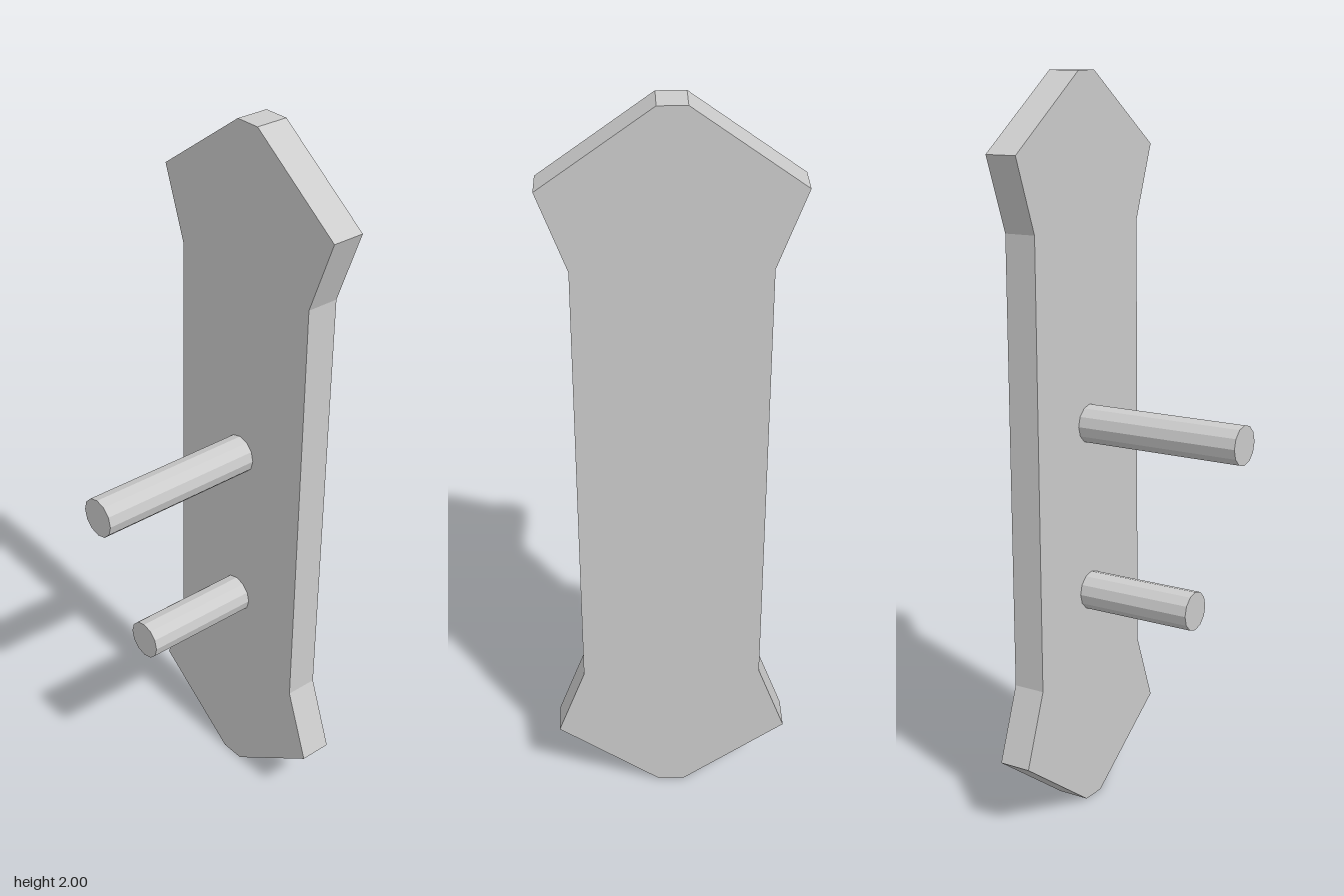
import * as THREE from 'three';

export function createModel() {
  const group = new THREE.Group();
  const material = new THREE.MeshStandardMaterial({ color: 0xcccccc, flatShading: true });
  const backZ = -0.28, frontZ = -0.19;

  // Plate: one quarter of the outline, mirrored about x = 0 and y = 1
  const quarter = [[0.235, 1.605], [0.307, 1.803], [0.035, 2]];
  const right = [...quarter.map(([x, y]) => [x, 2 - y]).reverse(), ...quarter];
  const outline = [...right, ...right.map(([x, y]) => [-x, y]).reverse()];
  const shape = new THREE.Shape(outline.map(([x, y]) => new THREE.Vector2(x, y)));
  const plate = new THREE.Mesh(
    new THREE.ExtrudeGeometry(shape, { depth: frontZ - backZ, bevelEnabled: false }), material);
  plate.name = 'backPlate';
  plate.position.z = backZ;
  group.add(plate);

  // Round pegs standing out from the front of the plate
  const addPeg = (name, y, tipZ) => {
    const length = tipZ - frontZ;
    const geometry = new THREE.CylinderGeometry(0.053, 0.053, length, 12).rotateX(Math.PI / 2);
    const peg = new THREE.Mesh(geometry, material);
    peg.name = name;
    peg.position.set(0, y, frontZ + length / 2);
    group.add(peg);
  };
  addPeg('upperPeg', 1.083, 0.28);
  addPeg('lowerPeg', 0.614, 0.14);

  return group;
}
